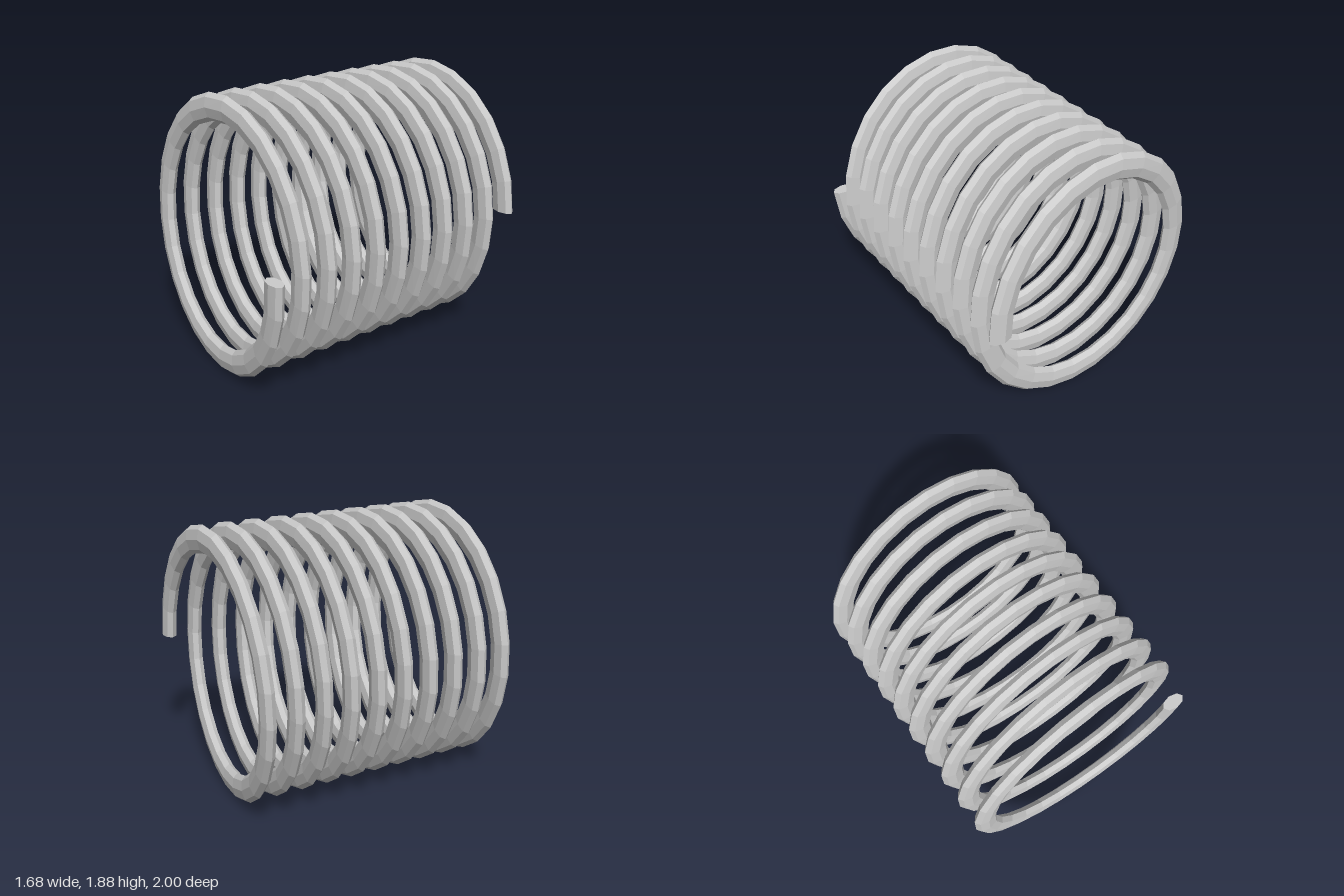
import * as THREE from 'three';

const TURNS = 10, STEPS = 25, SIDES = 8;
const RADIUS = 0.76, WIRE = 0.083;       // coil radius, radial half thickness of the wire
const WIRE_Z = 0.047, HALF_LENGTH = 0.953; // wire half thickness and coil half length along z
const STRETCH_Y = 1.12;                  // the coil is slightly taller than wide

// Point on the wire surface: ring i along the helix, corner j of the octagonal section
function surfacePoint(i, j, size = 1) {
  const turn = -(i / STEPS) * Math.PI * 2;
  const corner = (j / SIDES) * Math.PI * 2;
  const r = RADIUS + WIRE * size * Math.cos(corner);
  const z = HALF_LENGTH * (1 - (2 * i) / (TURNS * STEPS)) + WIRE_Z * size * Math.sin(corner);
  return [r * Math.cos(turn), r * Math.sin(turn) * STRETCH_Y, z];
}

function coilGeometry() {
  const rings = TURNS * STEPS;
  const positions = [];
  const tri = (...points) => points.forEach((p) => positions.push(...p));

  // Wire skin
  for (let i = 0; i < rings; i++) {
    for (let j = 0; j < SIDES; j++) {
      const a = surfacePoint(i, j), b = surfacePoint(i, j + 1);
      const c = surfacePoint(i + 1, j), d = surfacePoint(i + 1, j + 1);
      tri(a, b, c);
      tri(b, d, c);
    }
  }

  // Flat cut ends
  for (let j = 0; j < SIDES; j++) {
    tri(surfacePoint(0, 0, 0), surfacePoint(0, j + 1), surfacePoint(0, j));
    tri(surfacePoint(rings, 0, 0), surfacePoint(rings, j), surfacePoint(rings, j + 1));
  }

  const geometry = new THREE.BufferGeometry();
  geometry.setAttribute('position', new THREE.Float32BufferAttribute(positions, 3));
  geometry.computeVertexNormals();
  return geometry;
}

export function createModel() {
  const group = new THREE.Group();
  group.name = 'coilSpring';
  const material = new THREE.MeshStandardMaterial({ color: 0xcccccc, flatShading: true });
  const coil = new THREE.Mesh(coilGeometry(), material);
  coil.name = 'springCoil';
  coil.position.y = 0.942;
  group.add(coil);
  return group;
}
